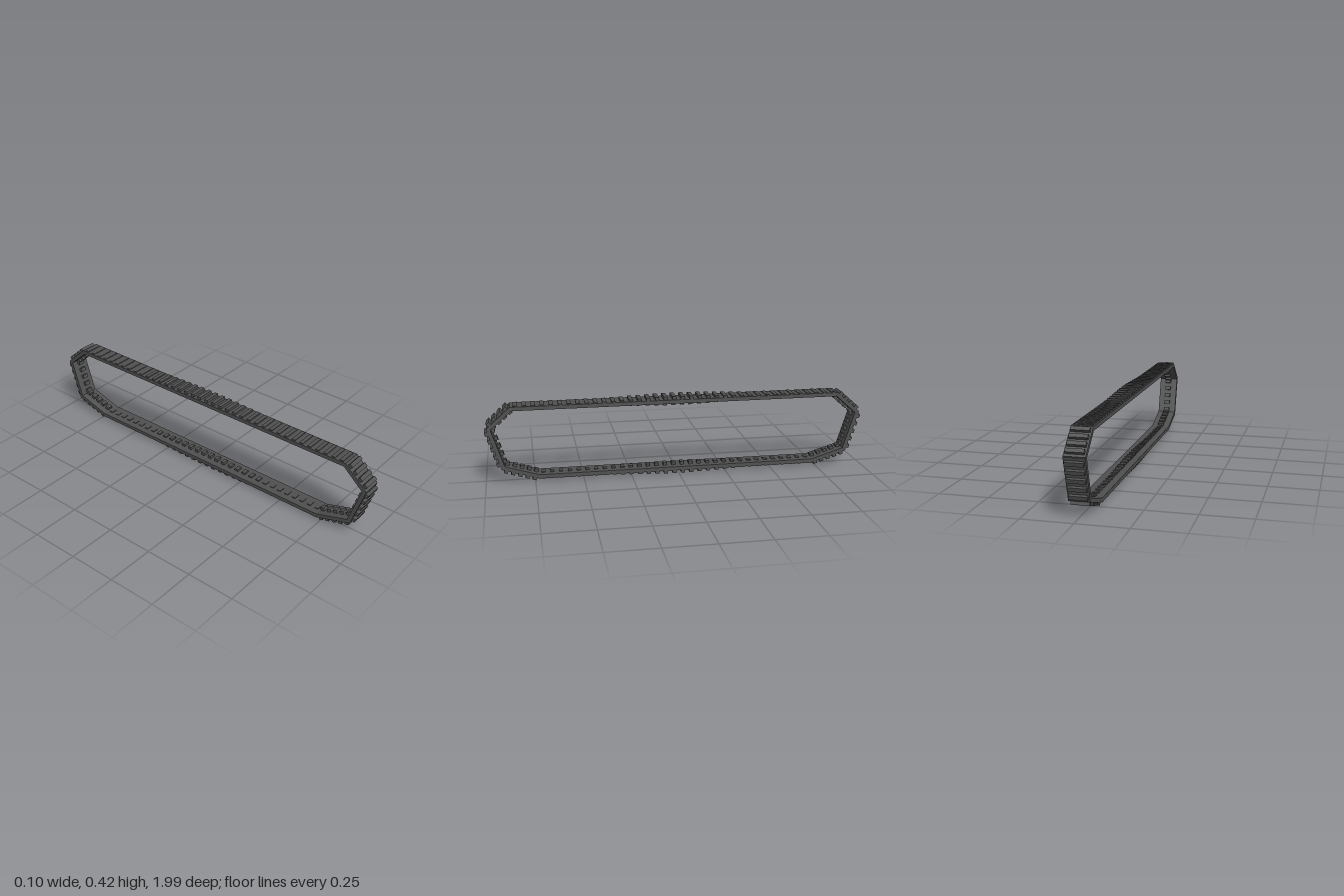
import * as THREE from 'three';

const WIDTH = 0.102, THICK = 0.02;
const material = new THREE.MeshStandardMaterial({ color: 0x505050, flatShading: true });

function box(name, w, h, d, y, z) {
  const mesh = new THREE.Mesh(new THREE.BoxGeometry(w, h, d), material);
  mesh.name = name;
  mesh.position.set(0, y, z);
  return mesh;
}

// One straight run of belt from a to b ([z, y]); its local +y points out of the loop
function beltRun(name, a, b, count, tapered) {
  const run = new THREE.Group();
  run.name = name;
  const dz = b[0] - a[0], dy = b[1] - a[1], length = Math.hypot(dz, dy);
  run.position.set(0, (a[1] + b[1]) / 2, (a[0] + b[0]) / 2);
  run.rotation.x = Math.atan2(-dy, dz);
  run.add(box('beltPlate', WIDTH, THICK, length + 0.008, 0, 0));

  const pitch = length / count;
  for (let i = 0; i < count; i++) {
    const z = (i + 0.5) * pitch - length / 2;
    // On the long runs the cleats and teeth stand tallest in the middle
    const k = tapered ? Math.max(0.25, 1 - Math.max(0, Math.abs(z) - 0.08) / 0.42) : 1;
    const out = 0.016 * k, inn = 0.016 * k;
    run.add(box('cleat', 0.088, out + 0.004, 0.02, THICK / 2 + out / 2 - 0.002, z));
    run.add(box('guideTooth', 0.032, inn + 0.004, 0.02, -THICK / 2 - inn / 2 + 0.002, z));
  }
  return run;
}

export function createModel() {
  const track = new THREE.Group();
  track.name = 'track';

  // Belt centre line, clockwise from the top rear corner
  const path = [
    [-0.86, 0.394], [0.86, 0.394], [0.975, 0.292], [0.91, 0.085],
    [0.73, 0.03], [-0.73, 0.03], [-0.91, 0.085], [-0.975, 0.292],
  ];
  const runs = [
    ['topRun', 38, true], ['frontUpperRun', 4], ['frontRun', 5], ['frontLowerRun', 5],
    ['bottomRun', 32, true], ['rearLowerRun', 5], ['rearRun', 5], ['rearUpperRun', 4],
  ];
  runs.forEach(([name, count, tapered], i) => {
    track.add(beltRun(name, path[i], path[(i + 1) % path.length], count, tapered));
  });

  // Stand on the ground
  const bounds = new THREE.Box3().setFromObject(track, true);
  track.position.y = -bounds.min.y;
  const model = new THREE.Group();
  model.name = 'trackModel';
  model.add(track);
  return model;
}
